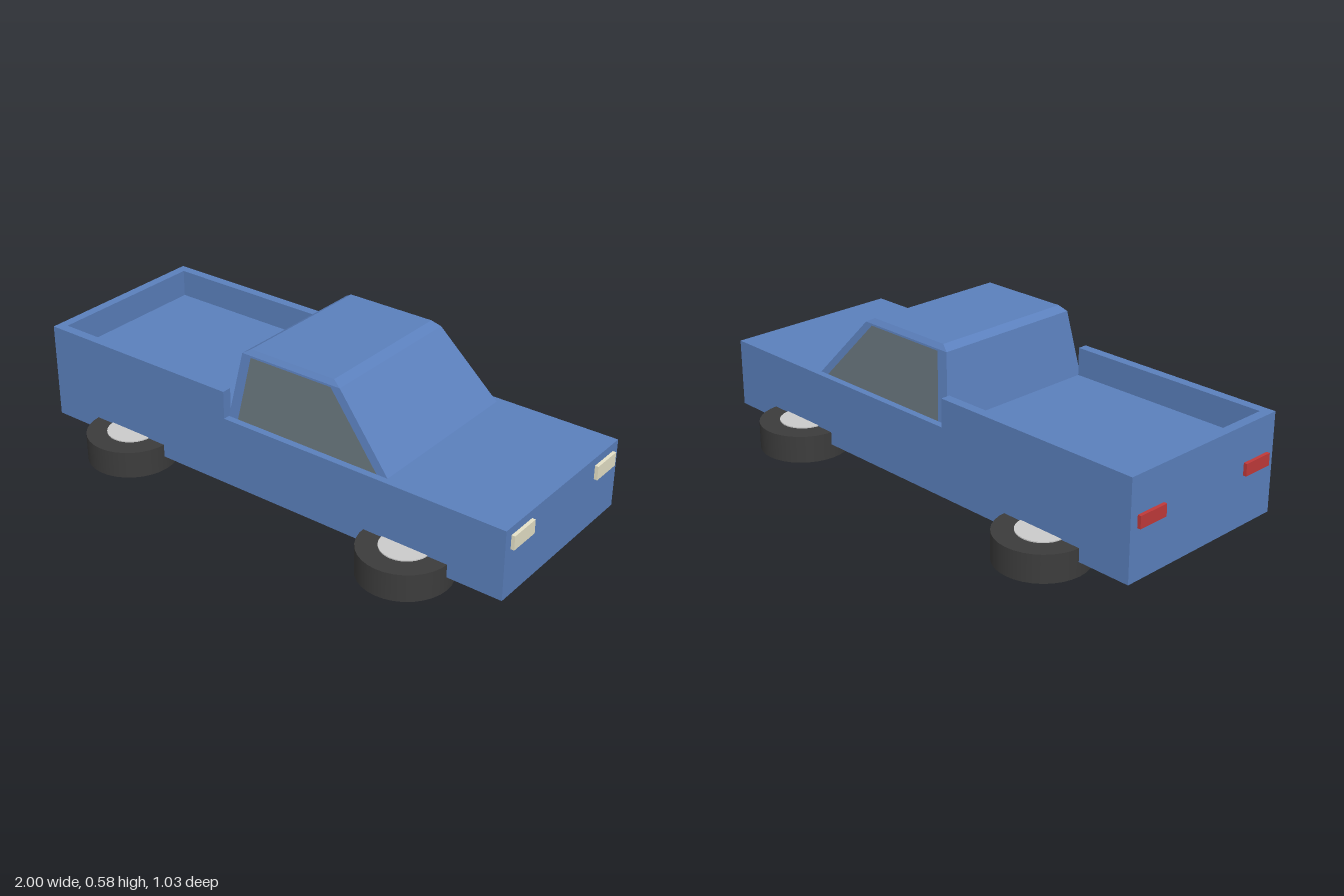
import * as THREE from 'three';

const mat = (color, extra = {}) => new THREE.MeshStandardMaterial({ color, ...extra });

// Stack of rectangles [y, xBack, xFront, halfWidth] joined into a closed, flat-faced solid
function loftRects(levels) {
  const rings = levels.map(([y, x0, x1, w]) => [[x0, y, w], [x1, y, w], [x1, y, -w], [x0, y, -w]]);
  const pos = [];
  const quad = (a, b, c, d) => pos.push(...a, ...b, ...c, ...a, ...c, ...d);
  for (let i = 0; i < rings.length - 1; i++) {
    for (let j = 0; j < 4; j++) {
      const k = (j + 1) % 4;
      quad(rings[i][j], rings[i][k], rings[i + 1][k], rings[i + 1][j]);
    }
  }
  quad(...rings[rings.length - 1]);
  quad(...[...rings[0]].reverse());
  const geo = new THREE.BufferGeometry();
  geo.setAttribute('position', new THREE.Float32BufferAttribute(pos, 3));
  geo.computeVertexNormals();
  return geo;
}

export function createModel() {
  const truck = new THREE.Group();
  truck.name = 'pickupTruck';
  const paint = mat(0x5b80bd);
  const glass = mat(0x66737a, { side: THREE.DoubleSide });
  const tyreMat = mat(0x3c3c3c);
  const hubMat = mat(0xcccccc);
  const headMat = mat(0xe6e2c8);
  const tailMat = mat(0xc03a3a);

  const add = (name, geo, material, x = 0, y = 0, z = 0) => {
    const mesh = new THREE.Mesh(geo, material);
    mesh.name = name;
    mesh.position.set(x, y, z);
    truck.add(mesh);
    return mesh;
  };
  // Box given by its minimum and maximum corners
  const box = (name, material, [x0, y0, z0], [x1, y1, z1]) =>
    add(name, new THREE.BoxGeometry(x1 - x0, y1 - y0, z1 - z0), material,
      (x0 + x1) / 2, (y0 + y1) / 2, (z0 + z1) / 2);

  // Body and cargo bed, with the walls as one U-shaped extrusion open toward the cab
  const W = 0.354, L = 0.987, inner = W - 0.036, bedEnd = -0.153;
  box('body', paint, [-L, 0.06, -W], [L, 0.32, W]);
  const wall = new THREE.Shape([
    [bedEnd, -W], [bedEnd, -inner], [-L + 0.036, -inner], [-L + 0.036, inner],
    [bedEnd, inner], [bedEnd, W], [-L, W], [-L, -W],
  ].map(([x, y]) => new THREE.Vector2(x, y)));
  const wallGeo = new THREE.ExtrudeGeometry(wall, { depth: 0.105, bevelEnabled: false });
  wallGeo.rotateX(-Math.PI / 2);
  add('bedWalls', wallGeo, paint, 0, 0.32, 0);

  // Tapered cab with a chamfered roof edge
  add('cab', loftRects([
    [0.32, -0.153, 0.522, 0.328],
    [0.562, -0.115, 0.3, 0.293],
    [0.58, -0.085, 0.267, 0.28],
  ]), paint);

  // Side windows lie just outside the sloping cab sides
  const lean = Math.atan2(0.328 - 0.293, 0.562 - 0.32);
  const pane = new THREE.Shape([[-0.11, 0.002], [0.48, 0.002], [0.265, 0.237], [-0.075, 0.237]]
    .map(([x, y]) => new THREE.Vector2(x, y / Math.cos(lean))));
  for (const s of [1, -1]) {
    const win = add(s > 0 ? 'windowFrontSide' : 'windowBackSide',
      new THREE.ShapeGeometry(pane), glass, 0, 0.32, s * 0.331);
    win.rotation.x = -s * lean;
  }

  // Lights and flat-lying wheels, mirrored across the body
  for (const s of [1, -1]) {
    const z0 = Math.min(s * 0.2, s * 0.322), z1 = Math.max(s * 0.2, s * 0.322);
    box('headlight', headMat, [L - 0.01, 0.238, z0], [1, 0.29, z1]);
    box('tailLight', tailMat, [-1, 0.245, z0], [-L + 0.01, 0.29, z1]);
    for (const x of [-0.617, 0.613]) {
      add('tyre', new THREE.CylinderGeometry(0.167, 0.167, 0.103, 32), tyreMat, x, 0.0575, s * 0.347);
      add('hub', new THREE.CylinderGeometry(0.091, 0.091, 0.113, 32), hubMat, x, 0.0565, s * 0.347);
    }
  }
  return truck;
}
